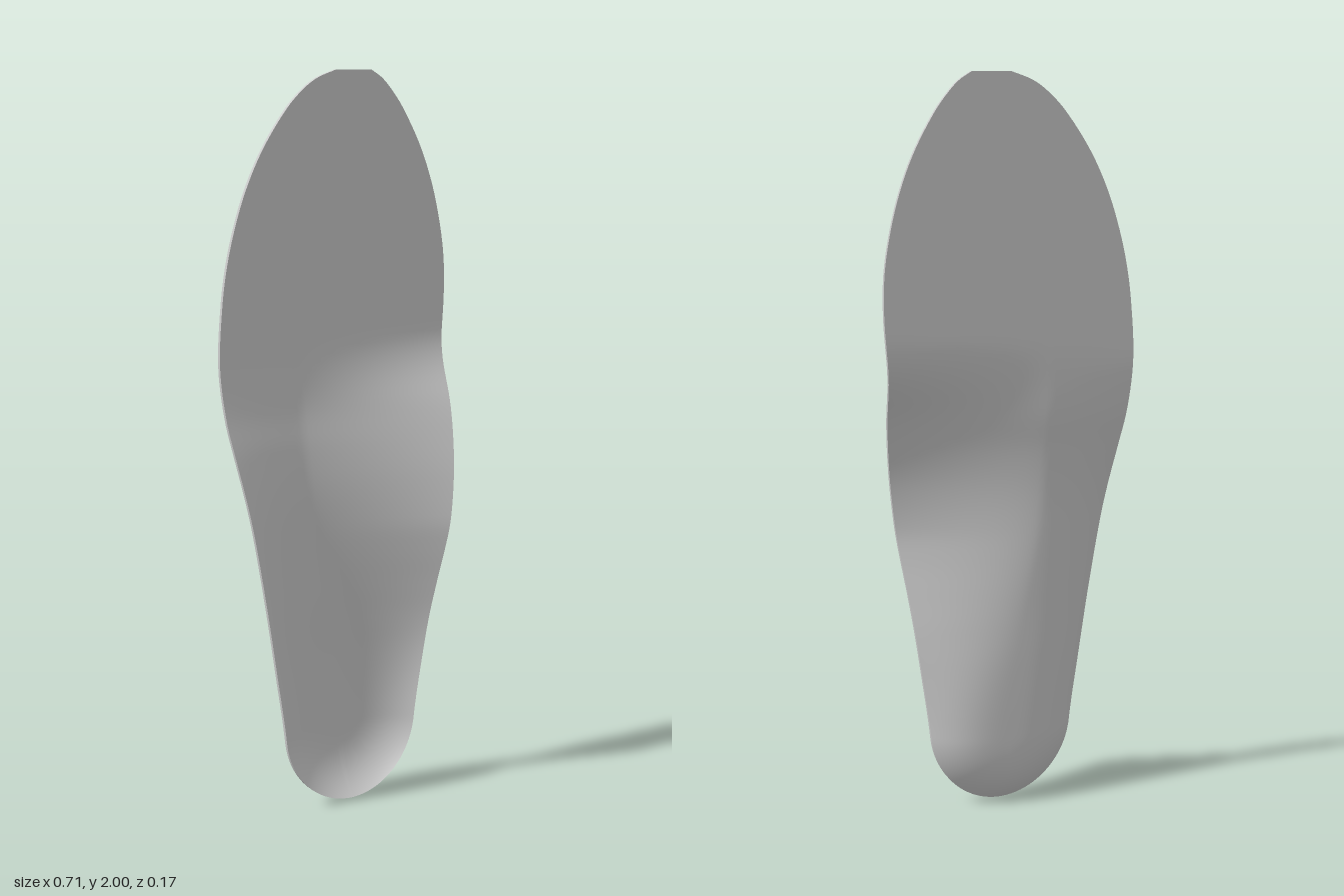
import * as THREE from 'three';

const COLS = 56, ROWS = 150, THICK = 0.011, HEEL = 0.2;

// Smooth interpolation through [y, value] keys
function track(keys) {
  const slope = (i) => {
    const a = keys[Math.max(i - 1, 0)], b = keys[Math.min(i + 1, keys.length - 1)];
    return (b[1] - a[1]) / (b[0] - a[0]);
  };
  return (y) => {
    let i = 0;
    while (i < keys.length - 2 && y > keys[i + 1][0]) i++;
    const [y0, v0] = keys[i], [y1, v1] = keys[i + 1];
    const h = y1 - y0, t = THREE.MathUtils.clamp((y - y0) / h, 0, 1);
    const t2 = t * t, t3 = t2 * t;
    return (2 * t3 - 3 * t2 + 1) * v0 + (t3 - 2 * t2 + t) * h * slope(i)
      + (3 * t2 - 2 * t3) * v1 + (t3 - t2) * h * slope(i + 1);
  };
}

// Outline: outer (-x) and inner (+x) edges; the heel is rounded separately
const outerEdge = track([[0, -0.196], [0.2, -0.21], [0.4, -0.238], [0.6, -0.265], [0.8, -0.295],
  [1, -0.33], [1.1, -0.345], [1.25, -0.355], [1.4, -0.345], [1.5, -0.33], [1.6, -0.305],
  [1.7, -0.27], [1.8, -0.22], [1.9, -0.15], [1.95, -0.1], [1.98, -0.055], [2, 0]]);
const innerEdge = track([[0, 0.19], [0.2, 0.202], [0.4, 0.226], [0.6, 0.25], [0.8, 0.278],
  [1, 0.305], [1.2, 0.331], [1.3, 0.344], [1.4, 0.35], [1.5, 0.347], [1.6, 0.331],
  [1.7, 0.305], [1.8, 0.266], [1.9, 0.21], [1.95, 0.172], [1.98, 0.142], [2, 0.11]]);

// Heights of the foot bed and of the two raised edges
const floor = track([[0, -0.055], [0.2, -0.055], [0.4, -0.052], [0.6, -0.046], [0.8, -0.043],
  [0.9, -0.045], [1, -0.053], [1.1, -0.066], [1.2, -0.071], [1.3, -0.073], [2, -0.073]]);
const outerRim = track([[0, 0.011], [0.2, 0.011], [0.4, 0.01], [0.6, 0.003], [0.8, -0.008],
  [0.9, -0.02], [1, -0.039], [1.1, -0.06], [1.2, -0.071], [1.3, -0.073], [2, -0.073]]);
const innerRim = track([[0, 0.011], [0.2, 0.013], [0.4, 0.024], [0.5, 0.035], [0.6, 0.053],
  [0.7, 0.072], [0.78, 0.081], [0.9, 0.07], [1, 0.046], [1.1, 0.009], [1.2, -0.045],
  [1.26, -0.067], [1.32, -0.073], [2, -0.073]]);

// Lowest line across the bed, and how sharply each side curls up
const valley = track([[0, 0], [0.2, 0], [0.5, -0.15], [0.8, -0.32], [1.2, -0.3], [2, -0.3]]);
const outerCurl = track([[0, 3.2], [0.3, 3.2], [0.8, 2], [1.2, 1.5], [2, 1.5]]);
const innerCurl = track([[0, 3.2], [0.25, 3], [0.5, 1.9], [0.8, 1.4], [1.2, 1.1], [2, 1.1]]);

function bedPoint(row, col) {
  const y = 1 - Math.cos(Math.PI * row / ROWS);
  const t = -Math.cos(Math.PI * (0.15 + 0.7 * col / COLS)) / Math.cos(Math.PI * 0.15);
  const v = Math.max(0, (HEEL - y) / HEEL);
  const round = Math.sqrt(Math.max(0, 1 - v * v));
  const x = THREE.MathUtils.lerp(outerEdge(y), innerEdge(y), (t + 1) / 2) * round;
  const c = valley(y), inner = t > c;
  const side = Math.min(1, Math.abs(t - c) / (inner ? 1 - c : 1 + c));
  // the heel cup rises around the back as well as at the sides
  const s = Math.sqrt(v * v + (1 - v * v) * side * side);
  const rise = Math.pow(s, (inner ? innerCurl : outerCurl)(y));
  const z = THREE.MathUtils.lerp(floor(y), (inner ? innerRim : outerRim)(y), rise);
  return [x, y, z];
}

// Joins equal-length rows of points into one smooth surface
function surface(rows, flip) {
  const n = rows[0].length, index = [];
  for (let r = 0; r < rows.length - 1; r++) {
    for (let c = 0; c < n - 1; c++) {
      const a = r * n + c, b = a + 1, d = a + n, e = d + 1;
      if (flip) index.push(a, d, b, b, d, e);
      else index.push(a, b, d, b, e, d);
    }
  }
  const g = new THREE.BufferGeometry();
  g.setAttribute('position', new THREE.Float32BufferAttribute(rows.flat(2), 3));
  g.setIndex(index);
  g.computeVertexNormals();
  return g;
}

export function createModel() {
  const group = new THREE.Group();
  group.name = 'insole';
  const material = new THREE.MeshStandardMaterial({ color: 0xcccccc, side: THREE.DoubleSide });
  const add = (name, geometry) => {
    const mesh = new THREE.Mesh(geometry, material);
    mesh.name = name;
    group.add(mesh);
  };
  const lower = ([x, y, z]) => [x, y, z - THICK];

  // Foot bed and underside
  const bed = [];
  for (let r = 0; r <= ROWS; r++) {
    bed.push(Array.from({ length: COLS + 1 }, (_, c) => bedPoint(r, c)));
  }
  add('footBed', surface(bed, false));
  add('underside', surface(bed.map((row) => row.map(lower)), true));

  // Thin edge band: up the outer side, across the toe, down the inner side
  const loop = [
    ...bed.map((row) => row[0]),
    ...bed[ROWS].slice(1, -1),
    ...bed.map((row) => row[COLS]).reverse(),
  ];
  add('edgeBand', surface([loop, loop.map(lower)], true));
  return group;
}
